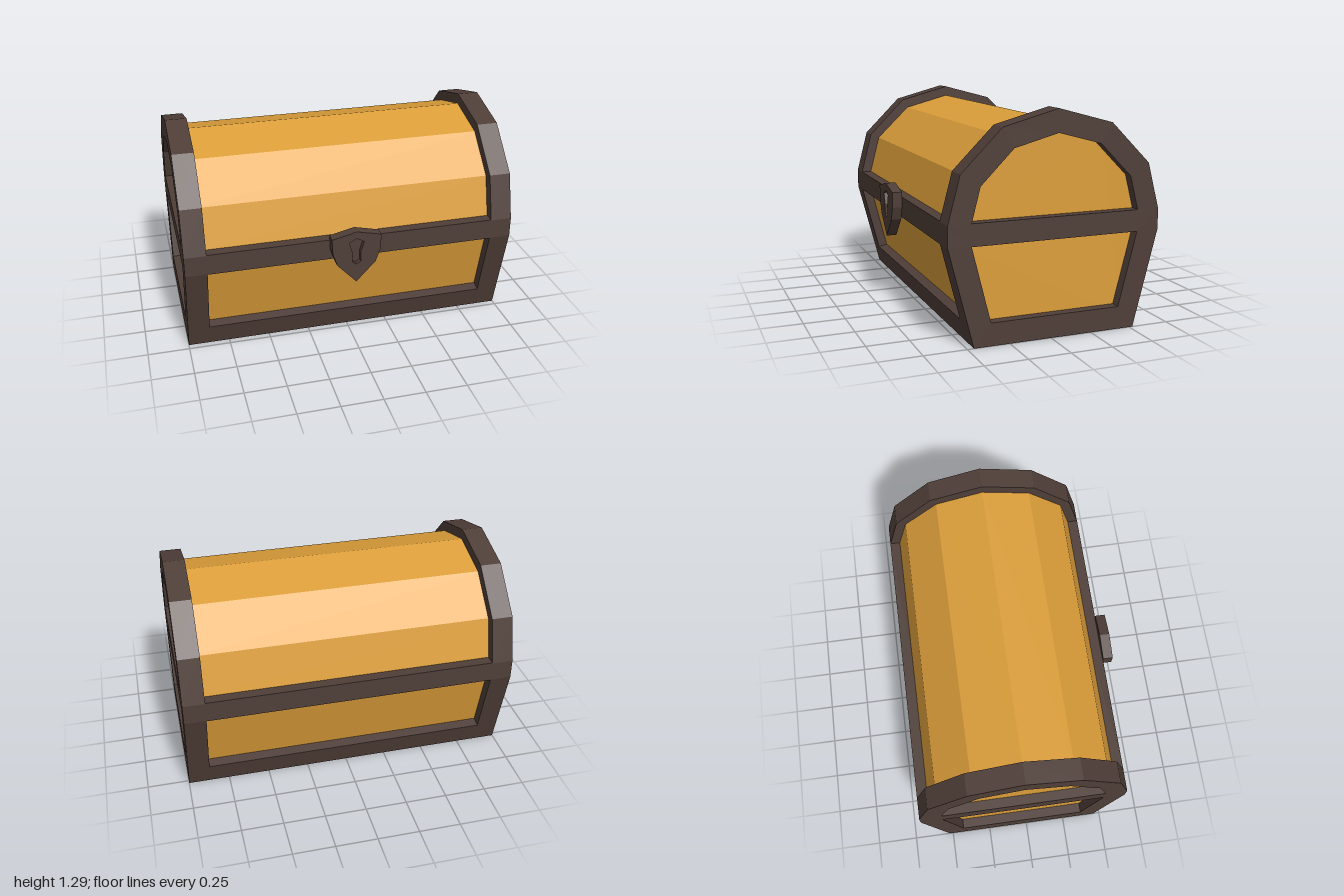
import * as THREE from 'three';

const wood = new THREE.MeshStandardMaterial({ color: 0xdc9e3a });
wood.name = 'golden wood';
const iron = new THREE.MeshStandardMaterial({ color: 0x4f3e38 });
iron.name = 'dark brown trim';

const CENTER_Z = -0.03;

// Mirrors right-hand points [halfWidth, y], listed bottom to top, into a closed outline
function symmetric(points) {
  const left = points.filter(([x]) => x > 0).map(([x, y]) => [-x, y]).reverse();
  return [...points, ...left].map(([x, y]) => new THREE.Vector2(x, y));
}

// Extrudes a cross-section along x, between x0 and x1
function alongX(shape, x0, x1) {
  const g = new THREE.ExtrudeGeometry(shape, { depth: x1 - x0, bevelEnabled: false });
  g.rotateY(Math.PI / 2);
  g.translate(x0, 0, CENTER_Z);
  return g;
}

export function createModel() {
  const chest = new THREE.Group();
  chest.name = 'chest';
  const add = (name, geometry, material, parent = chest) => {
    const mesh = new THREE.Mesh(geometry, material);
    mesh.name = name;
    parent.add(mesh);
    return mesh;
  };

  // Wooden body with faceted lid, set back from the trim
  const body = symmetric([
    [0.447, 0.06], [0.575, 0.57], [0.575, 0.69], [0.51, 0.935], [0.295, 1.143], [0, 1.222],
  ]);
  add('woodenBody', alongX(new THREE.Shape(body), -0.94, 0.94), wood);

  // End frames, each with a lid opening and a lower opening
  const outer = symmetric([
    [0.492, 0], [0.638, 0.57], [0.638, 0.69], [0.566, 0.96], [0.327, 1.198], [0, 1.286],
  ]);
  const lidOpening = symmetric([[0.503, 0.694], [0.452, 0.89], [0.26, 1.083], [0, 1.153]]);
  const lowerOpening = symmetric([[0.392, 0.133], [0.503, 0.567]]);
  for (const [name, x0, x1] of [['leftEndFrame', 0.87, 1], ['rightEndFrame', -1, -0.87]]) {
    const shape = new THREE.Shape(outer);
    shape.holes.push(new THREE.Path(lidOpening), new THREE.Path(lowerOpening));
    add(name, alongX(shape, x0, x1), iron);
  }

  // Long rails on front and back; shape x runs towards -z
  const bottomRail = [[0.36, 0], [0.492, 0], [0.526, 0.133], [0.4, 0.165]];
  const middleBand = [[0.5, 0.567], [0.638, 0.567], [0.638, 0.694], [0.5, 0.694]];
  for (const [side, s] of [['front', -1], ['back', 1]]) {
    for (const [part, pts] of [['BottomRail', bottomRail], ['MiddleBand', middleBand]]) {
      const shape = new THREE.Shape(pts.map(([x, y]) => new THREE.Vector2(s * x, y)));
      add(side + part, alongX(shape, -0.87, 0.87), iron);
    }
  }

  // Shield-shaped lock with a recessed keyhole
  const lock = new THREE.Group();
  lock.name = 'lock';
  chest.add(lock);
  const shield = symmetric([[0, 0.425], [0.118, 0.55], [0.145, 0.63], [0.15, 0.725], [0, 0.76]]);
  const keyhole = symmetric([
    [0, 0.545], [0.025, 0.562], [0.025, 0.625], [0.045, 0.69], [0, 0.715],
  ]);
  const face = new THREE.Shape(shield);
  face.holes.push(new THREE.Path(keyhole));
  const plate = (shape, z0, z1) =>
    new THREE.ExtrudeGeometry(shape, { depth: z1 - z0, bevelEnabled: false }).translate(0, 0, z0);
  add('lockBack', plate(new THREE.Shape(shield), 0.606, 0.64), iron, lock);
  add('lockFace', plate(face, 0.64, 0.668), iron, lock);

  return chest;
}
